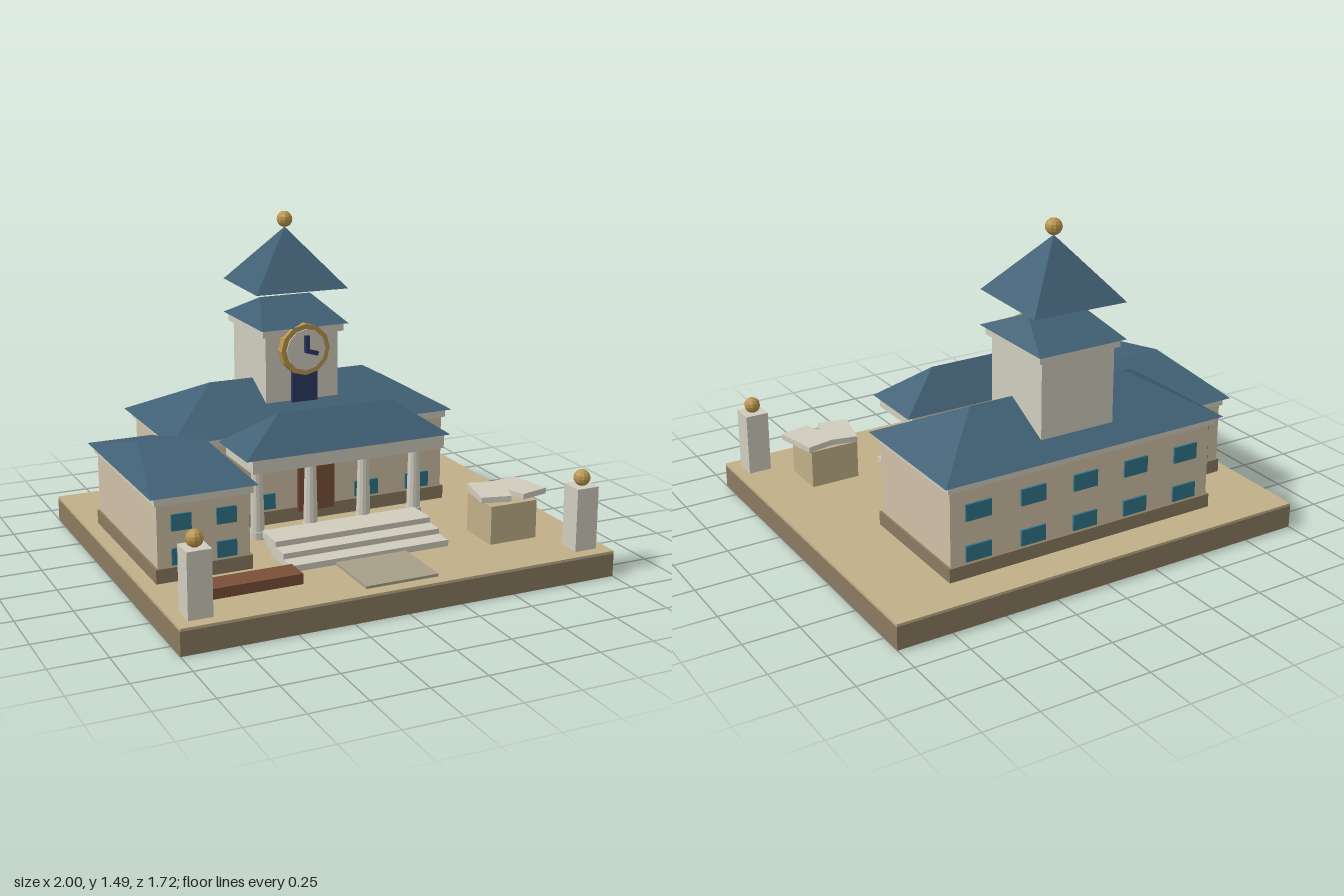
import * as THREE from 'three';

const COLORS = {
  wall: 0xd0c0a6, stone: 0xd0ccbe, roof: 0x416075, plinth: 0x8b7a60, lawn: 0xc0b088,
  path: 0xa89f88, wood: 0x7a5038, glass: 0x2f7388, gold: 0xb8954c, navy: 0x2a3a60,
};
const mats = {};
for (const k in COLORS) {
  mats[k] = new THREE.MeshStandardMaterial({ color: COLORS[k], flatShading: true });
}

export function createModel() {
  const model = new THREE.Group();

  const add = (name, geo, mat, x = 0, y = 0, z = 0, parent = model) => {
    const m = new THREE.Mesh(geo, mats[mat]);
    m.name = name;
    m.position.set(x, y, z);
    parent.add(m);
    return m;
  };
  // Box given by its extents on each axis
  const box = (name, mat, x0, x1, y0, y1, z0, z1, parent) =>
    add(name, new THREE.BoxGeometry(x1 - x0, y1 - y0, z1 - z0), mat,
      (x0 + x1) / 2, (y0 + y1) / 2, (z0 + z1) / 2, parent);
  // Hipped roof with its ridge along x
  const hipRoof = (name, x0, x1, y0, y1, z0, z1, ridge, parent) => {
    const w = (x1 - x0) / 2, d = (z1 - z0) / 2, h = y1 - y0;
    const A = [-w, 0, d], B = [w, 0, d], C = [w, 0, -d], D = [-w, 0, -d];
    const E = [-ridge, h, 0], F = [ridge, h, 0];
    const tris = [A, B, F, A, F, E, B, C, F, C, D, E, C, E, F, D, A, E, A, D, C, A, C, B];
    const g = new THREE.BufferGeometry();
    g.setAttribute('position', new THREE.Float32BufferAttribute(tris.flat(), 3));
    g.computeVertexNormals();
    return add(name, g, 'roof', (x0 + x1) / 2, y0, (z0 + z1) / 2, parent);
  };
  const group = (name) => {
    const g = new THREE.Group();
    g.name = name;
    model.add(g);
    return g;
  };
  const windows = (parent, xs, z, w, rows) => {
    for (const x of xs) for (const [y0, y1] of rows) {
      box('window', 'glass', x - w / 2, x + w / 2, y0, y1, z - 0.01, z + 0.01, parent);
    }
  };
  const ball = (x, y, z, parent) =>
    add('goldBall', new THREE.SphereGeometry(0.037, 10, 8), 'gold', x, y, z, parent);

  // Ground
  box('groundSlab', 'plinth', -1, 1, 0, 0.105, -0.86, 0.86);
  box('lawn', 'lawn', -1, 1, 0.105, 0.117, -0.86, 0.86);
  box('frontPath', 'path', -0.17, 0.165, 0.115, 0.129, 0.5, 0.8);

  // Main hall
  const hall = group('mainHall');
  box('hallPlinth', 'plinth', -0.665, 0.665, 0.115, 0.18, -0.69, -0.075, hall);
  box('hallWalls', 'wall', -0.655, 0.655, 0.18, 0.52, -0.68, -0.085, hall);
  box('hallCornice', 'stone', -0.67, 0.67, 0.52, 0.56, -0.695, -0.075, hall);
  hipRoof('hallRoof', -0.7, 0.695, 0.557, 0.73, -0.72, -0.055, 0.39, hall);
  const hallRows = [[0.19, 0.262], [0.375, 0.45]];
  windows(hall, [-0.525, -0.26, 0.26, 0.525], -0.085, 0.12, hallRows);
  windows(hall, [-0.525, -0.26, 0, 0.26, 0.525], -0.68, 0.12, hallRows);
  box('frontDoor', 'wood', -0.09, 0.09, 0.16, 0.447, -0.095, -0.066, hall);

  // Side wing
  const wing = group('sideWing');
  box('wingPlinth', 'plinth', -0.935, -0.505, 0.115, 0.18, -0.425, 0.395, wing);
  box('wingWalls', 'wall', -0.925, -0.515, 0.18, 0.46, -0.42, 0.387, wing);
  box('wingCornice', 'stone', -0.938, -0.502, 0.455, 0.495, -0.43, 0.4, wing);
  hipRoof('wingRoof', -0.96, -0.485, 0.493, 0.61, -0.455, 0.42, 0.14, wing);
  for (const z of [0.387, -0.42]) {
    windows(wing, [-0.82, -0.62], z, 0.088, [[0.19, 0.262], [0.338, 0.41]]);
  }

  // Portico with columns and steps
  const portico = group('portico');
  box('porticoBeam', 'stone', -0.46, 0.46, 0.497, 0.56, -0.015, 0.295, portico);
  hipRoof('porticoRoof', -0.49, 0.49, 0.557, 0.705, -0.03, 0.3, 0.275, portico);
  for (const x of [-0.385, -0.13, 0.13, 0.385]) {
    const column = new THREE.Group();
    column.name = 'column';
    column.position.set(x, 0, 0.155);
    portico.add(column);
    const drum = (name, rTop, rBottom, y0, y1) => add(name,
      new THREE.CylinderGeometry(rTop, rBottom, y1 - y0, 12), 'stone', 0, (y0 + y1) / 2, 0, column);
    drum('columnBase', 0.037, 0.037, 0.155, 0.19);
    drum('columnShaft', 0.026, 0.032, 0.19, 0.465);
    drum('columnCapital', 0.037, 0.037, 0.465, 0.498);
  }
  [[0.117, 0.145, 0.28, 0.505], [0.14, 0.17, 0.235, 0.42], [0.165, 0.195, 0.18, 0.335]]
    .forEach(([y0, y1, z0, z1]) => box('step', 'stone', -0.375, 0.375, y0, y1, z0, z1, portico));

  // Clock tower
  const tower = group('clockTower');
  box('towerShaft', 'stone', -0.18, 0.18, 0.52, 0.96, -0.615, -0.225, tower);
  box('towerCornice', 'stone', -0.2, 0.2, 0.955, 0.995, -0.63, -0.205, tower);
  hipRoof('towerRoof', -0.215, 0.215, 0.993, 1.1, -0.655, -0.18, 0.127, tower);
  const spire = add('spire', new THREE.ConeGeometry(0.315, 0.265, 4), 'roof', 0, 1.287, -0.418, tower);
  spire.rotation.y = 0.75;
  ball(0, 1.455, -0.418, tower);
  box('towerPanel', 'navy', -0.063, 0.063, 0.645, 0.79, -0.21, -0.192, tower);

  // Clock
  const clock = group('clock');
  clock.position.set(0, 0.89, -0.2);
  const disc = (name, r, depth, mat, z) => {
    add(name, new THREE.CylinderGeometry(r, r, depth, 12), mat, 0, 0, z, clock).rotation.x = Math.PI / 2;
  };
  disc('clockRim', 0.12, 0.045, 'gold', -0.004);
  disc('clockFace', 0.096, 0.05, 'stone', 0);
  box('minuteHand', 'navy', -0.011, 0.011, -0.005, 0.068, 0.024, 0.042, clock);
  const hourHand = box('hourHand', 'navy', -0.01, 0.055, -0.02, 0, 0.024, 0.04, clock);
  hourHand.rotation.z = -0.3;

  // Gate posts
  for (const s of [-1, 1]) {
    const post = group('gatePost');
    box('postShaft', 'stone', s * 0.893 - 0.053, s * 0.893 + 0.053, 0.115, 0.402, 0.697, 0.803, post);
    ball(s * 0.893, 0.435, 0.75, post);
  }

  // Low bench
  box('bench', 'wood', -0.825, -0.395, 0.13, 0.176, 0.553, 0.672);

  // Open book on a pedestal
  box('bookPedestal', 'lawn', 0.535, 0.765, 0.128, 0.303, 0.39, 0.597);
  const pages = new THREE.Shape([
    [0.545, 0.365], [0.663, 0.39], [0.786, 0.365], [0.83, 0.567],
    [0.695, 0.6], [0.663, 0.52], [0.633, 0.6], [0.5, 0.567],
  ].map(([x, z]) => new THREE.Vector2(x, -z)));
  const book = add('openBook', new THREE.ExtrudeGeometry(pages, { depth: 0.026, bevelEnabled: false }),
    'stone', 0, 0.315, 0);
  book.rotation.x = -Math.PI / 2;

  return model;
}
